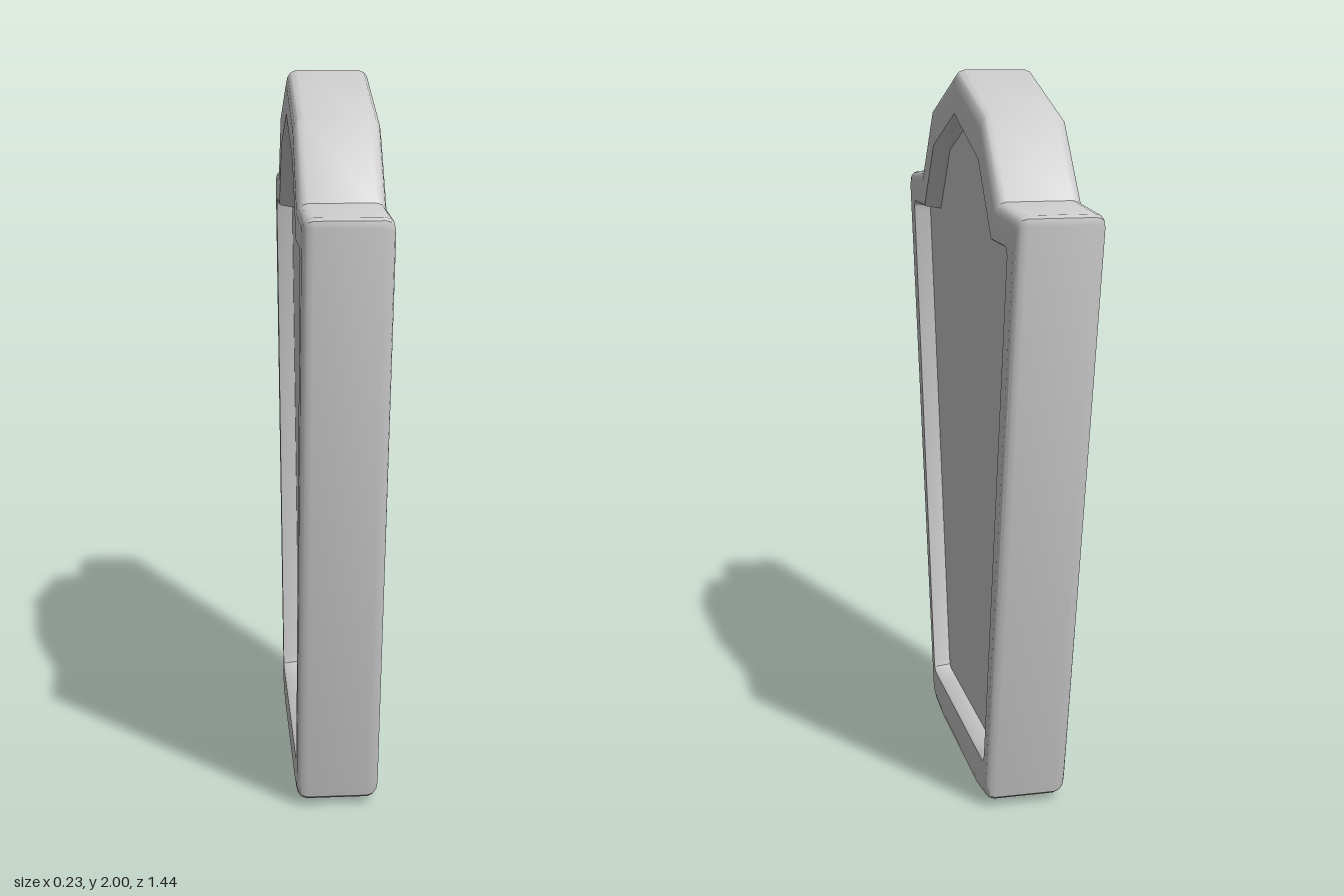
import * as THREE from 'three';
import { toCreasedNormals } from 'three/addons/utils/BufferGeometryUtils.js';

// Half outlines (sideways, up), from bottom centre round to the apex
const OUTER = [[0, 0], [0.25, 0], [0.36, 0.018], [0.378, 0.03], [0.385, 0.06], [0.718, 1.65],
  [0.715, 1.668], [0.70, 1.675], [0.5, 1.688], [0.335, 1.89], [0, 2]];
const INNER = [[0, 0.13], [0.22, 0.13], [0.335, 0.13], [0.35, 0.138], [0.358, 0.16], [0.615, 1.565],
  [0.612, 1.58], [0.60, 1.588], [0.445, 1.588], [0.298, 1.775], [0, 1.878]];
const FLOOR_X = 0.065;

// Mirror a half outline into a closed counter-clockwise loop
const closeLoop = (half) => [...half, ...half.slice(1, -1).reverse().map(([u, y]) => [-u, y])];
const outer = closeLoop(OUTER);
const inner = closeLoop(INNER);
const floorLoop = inner.map(([u, y]) => [u * 0.985, 0.9 + (y - 0.9) * 0.99]);

// Loop part of the way from the outer edge to the recess edge
const between = (t) => outer.map(([u, y], i) => [u + (inner[i][0] - u) * t, y + (inner[i][1] - y) * t]);

function frameGeometry() {
  // Cross-section of the rim: outer wall, rounded edge, flat face, recess wall
  const side = [[0, 0.085], [0.05, 0.1], [0.15, 0.109], [0.3, 0.113], [0.96, 0.113], [1, 0.108]]
    .map(([t, x]) => ({ x, loop: between(t) }));
  side.push({ x: FLOOR_X, loop: floorLoop });
  const rings = [...side.map(({ x, loop }) => ({ x: -x, loop })).reverse(), ...side];

  const n = outer.length;
  const positions = [];
  const index = [];
  rings.forEach(({ x, loop }) => loop.forEach(([u, y]) => positions.push(x, y, -u)));
  for (let k = 0; k < rings.length - 1; k++) {
    for (let i = 0; i < n; i++) {
      const a = k * n + i, b = k * n + (i + 1) % n;
      index.push(a, b, b + n, a, b + n, a + n);
    }
  }
  const geometry = new THREE.BufferGeometry();
  geometry.setAttribute('position', new THREE.Float32BufferAttribute(positions, 3));
  geometry.setIndex(index);
  return toCreasedNormals(geometry, THREE.MathUtils.degToRad(40));
}

export function createModel() {
  const group = new THREE.Group();
  group.name = 'gravestone';
  const material = new THREE.MeshStandardMaterial({ color: 0xcccccc });

  const frame = new THREE.Mesh(frameGeometry(), material);
  frame.name = 'frame';
  group.add(frame);

  // Sunken panel on each broad face
  const shape = new THREE.Shape(floorLoop.map(([u, y]) => new THREE.Vector2(u, y)));
  const panelGeometry = new THREE.ShapeGeometry(shape).rotateY(Math.PI / 2).translate(FLOOR_X, 0, 0);
  ['leftPanel', 'rightPanel'].forEach((name, i) => {
    const panel = new THREE.Mesh(panelGeometry, material);
    panel.name = name;
    panel.rotation.y = i * Math.PI;
    group.add(panel);
  });
  return group;
}
